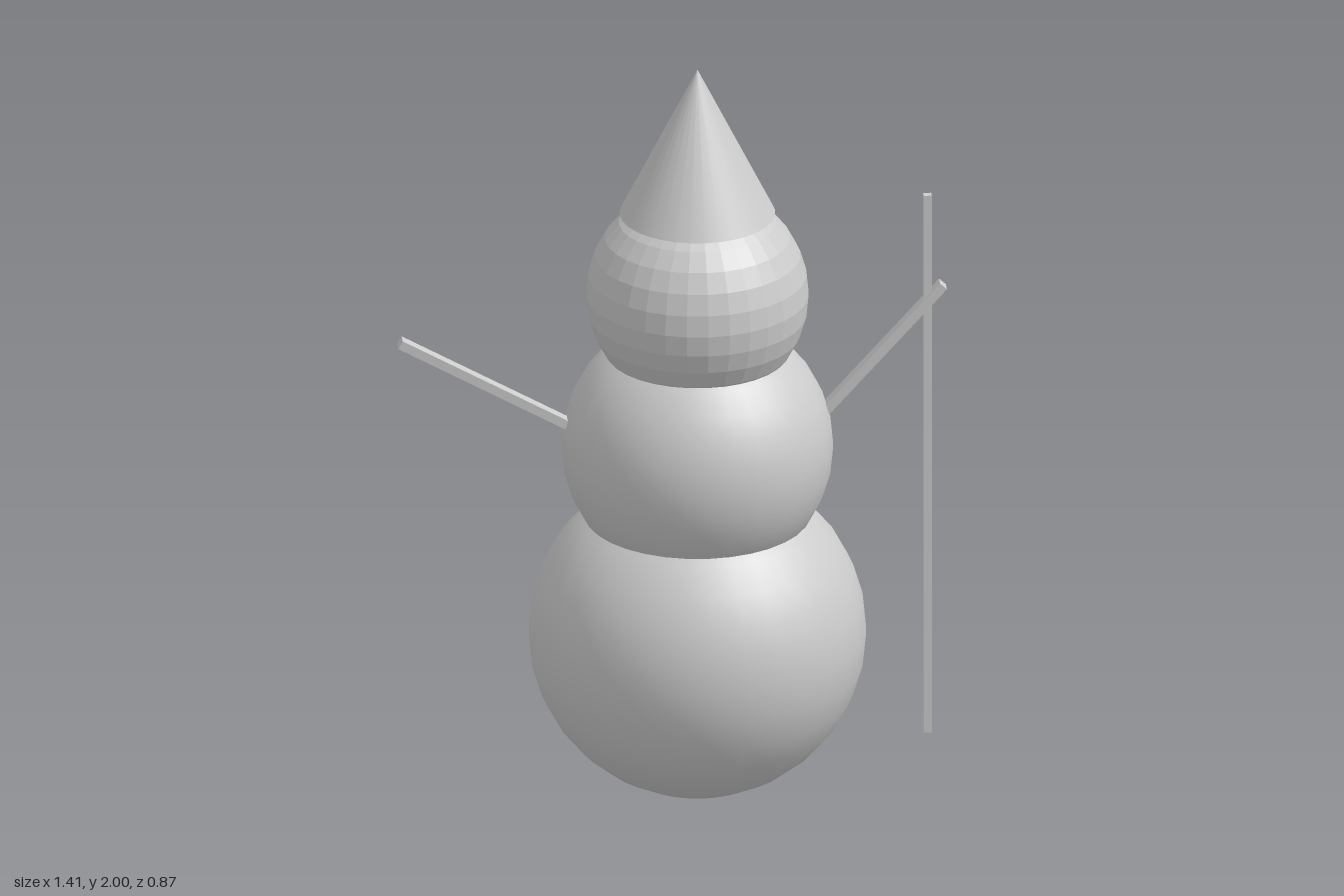
import * as THREE from 'three';

const CX = 0.063; // body axis

export function createModel() {
  const model = new THREE.Group();
  model.name = 'snowman';
  const smooth = new THREE.MeshStandardMaterial({ color: 0xcccccc });
  const faceted = new THREE.MeshStandardMaterial({ color: 0xcccccc, flatShading: true });

  const add = (name, geometry, material, x, y, z) => {
    const mesh = new THREE.Mesh(geometry, material);
    mesh.name = name;
    mesh.position.set(x, y, z);
    model.add(mesh);
    return mesh;
  };

  // Straight square-cut stick between two points in the z = 0 plane
  const stick = (name, [x0, y0], [x1, y1], width, depth) => {
    const length = Math.hypot(x1 - x0, y1 - y0);
    const mesh = add(name, new THREE.BoxGeometry(width, length, depth), faceted,
      (x0 + x1) / 2, (y0 + y1) / 2, 0);
    mesh.rotation.z = -Math.atan2(x1 - x0, y1 - y0);
  };

  // Stacked snowballs; the head is faceted
  const ball = (name, radius, y, material) =>
    add(name, new THREE.SphereGeometry(radius, 32, 16), material, CX, y, 0);
  ball('lowerBody', 0.434, 0.435, smooth);
  ball('upperBody', 0.349, 0.952, smooth);
  const headY = 1.374, headR = 0.286;
  ball('head', headR, headY, faceted);

  // Pointed hat
  add('hat', new THREE.ConeGeometry(0.2, 0.4, 32), smooth, CX, 1.8, 0);

  // Nose, tilted slightly upward, pointing to -z
  const noseTip = new THREE.Vector3(CX, 1.378, -0.42);
  const noseDir = new THREE.Vector3(0, 0.12, -1).normalize();
  const noseLength = 0.16;
  const nose = add('nose', new THREE.ConeGeometry(0.042, noseLength, 24), smooth, 0, 0, 0);
  nose.position.copy(noseTip).addScaledVector(noseDir, -noseLength / 2);
  nose.quaternion.setFromUnitVectors(new THREE.Vector3(0, 1, 0), noseDir);

  // Flattened button eyes lying on the head surface
  for (const side of [-1, 1]) {
    const dir = new THREE.Vector3(side * 0.086, 0.078, -0.262).normalize();
    const eye = add(side > 0 ? 'leftEye' : 'rightEye',
      new THREE.SphereGeometry(0.03, 20, 12), smooth, 0, 0, 0);
    eye.position.set(CX, headY, 0).addScaledVector(dir, headR - 0.004);
    eye.quaternion.setFromUnitVectors(new THREE.Vector3(0, 0, 1), dir);
    eye.scale.z = 0.4;
  }

  // Stick arms and the upright staff
  stick('rightArm', [-0.235, 1.005], [-0.704, 1.27], 0.024, 0.034);
  stick('leftArm', [0.375, 1.017], [0.696, 1.373], 0.024, 0.034);
  stick('staff', [0.656, 0.125], [0.656, 1.625], 0.021, 0.019);

  return model;
}
